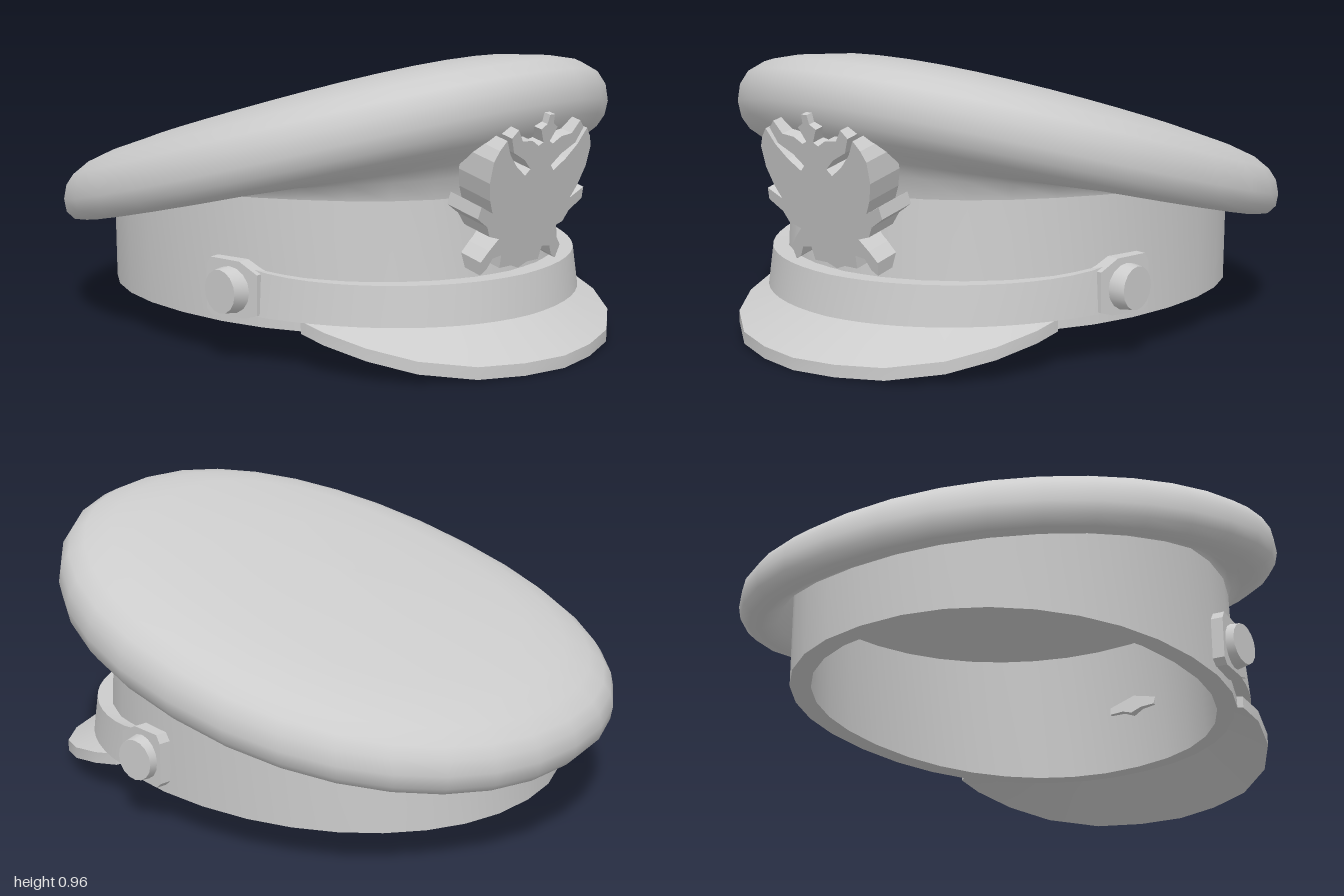
import * as THREE from 'three';
import { toCreasedNormals } from 'three/addons/utils/BufferGeometryUtils.js';

const V = (x, y, z) => new THREE.Vector3(x, y, z);

// Point on an oval: half width, front z, back z, height at front and back, lift at the sides
function oval(t, [xr, zf, zb, yf, yb, lift = 0]) {
  const p = (v) => Math.sign(v) * Math.abs(v) ** 0.93;
  const c = p(Math.cos(t));
  return V(
    xr * p(Math.sin(t)),
    THREE.MathUtils.lerp(yb, yf, (c + 1) / 2) + lift * Math.sin(t) ** 2,
    (zf + zb) / 2 + (c * (zf - zb)) / 2
  );
}

// Skin a list of closed rings of points
function loft(rings) {
  const n = rings[0].length;
  const index = [];
  for (let i = 0; i < rings.length - 1; i++) {
    for (let j = 0; j < n; j++) {
      const k = (j + 1) % n;
      const a = i * n + j, b = a + n, c = (i + 1) * n + k, d = i * n + k;
      index.push(a, b, c, a, c, d);
    }
  }
  const geo = new THREE.BufferGeometry().setFromPoints(rings.flat());
  geo.setIndex(index);
  geo.computeVertexNormals();
  return geo;
}

// Stack of ovals
function ovalLoft(profile, segments = 32) {
  return loft(profile.map((ring) =>
    Array.from({ length: segments }, (_, j) => oval((j / segments) * Math.PI * 2, ring))));
}

// Sections swept from right to left with closed ends
function sweep(sections) {
  const cap = (s) => {
    const m = s.reduce((sum, p) => sum.add(p), V(0, 0, 0)).divideScalar(s.length);
    return s.map(() => m.clone());
  };
  return toCreasedNormals(loft([cap(sections[0]), ...sections, cap(sections.at(-1))]), 0.6);
}

export function createModel() {
  const group = new THREE.Group();
  const grey = new THREE.MeshStandardMaterial({ color: 0xcccccc });
  grey.name = 'plain grey';
  const add = (name, geo) => {
    const mesh = new THREE.Mesh(geo, grey);
    mesh.name = name;
    group.add(mesh);
    return mesh;
  };

  // Padded, sloping crown that flares out of the band at the front
  const joint = [0.69, 0.752, -0.83, 0.53, 0.42, 0.04];
  add('crown', ovalLoft([
    [0, -0.045, -0.045, 0.762, 0.762],
    [0.3, 0.29, -0.38, 0.86, 0.665, -0.007],
    [0.57, 0.61, -0.7, 0.95, 0.565, -0.02],
    [0.7, 0.74, -0.83, 0.957, 0.518, -0.03],
    [0.785, 0.825, -0.915, 0.95, 0.472, -0.033],
    [0.835, 0.88, -0.965, 0.922, 0.43, -0.036],
    [0.86, 0.908, -0.99, 0.88, 0.395, -0.04],
    [0.868, 0.917, -1, 0.825, 0.35, -0.043],
    [0.86, 0.907, -0.993, 0.775, 0.305, -0.038],
    [0.835, 0.882, -0.965, 0.732, 0.277, -0.03],
    [0.795, 0.845, -0.925, 0.695, 0.272, -0.02],
    [0.74, 0.8, -0.875, 0.655, 0.3, 0],
    [0.7, 0.768, -0.838, 0.6, 0.39, 0.03],
    joint,
  ]));

  // Upright head band with thick open bottom
  const outerFoot = [0.69, 0.785, -0.83, 0.12, 0.12];
  const innerFoot = [0.622, 0.715, -0.762, 0.12, 0.12];
  const innerTop = [0.622, 0.685, -0.762, 0.6, 0.4];
  add('band', ovalLoft([joint, [0.69, 0.765, -0.83, 0.36, 0.3], outerFoot]));
  add('bandHem', ovalLoft([outerFoot, innerFoot]));
  add('bandLining', ovalLoft([innerFoot, innerTop]));
  add('ceiling', ovalLoft([innerTop, [0, -0.04, -0.04, 0.5, 0.5]]));

  // Visor: outer edge points from one side, mirrored to the other
  const half = [
    [0, 0.04, 1], [0.16, 0.042, 0.975], [0.32, 0.05, 0.92], [0.47, 0.075, 0.81],
    [0.56, 0.108, 0.68], [0.605, 0.14, 0.54], [0.605, 0.158, 0.44],
  ];
  const edge = [
    ...half.slice(1).reverse().map(([x, y, z]) => [-x, y, z]),
    ...half,
  ];
  add('visor', sweep(edge.map(([x, y, z], i) => {
    const t = (i - 6) / 6;
    const inner = oval(t, [0.67, 0.765, -0.81, 0, 0]);
    return [
      V(x, y - 0.04, z), V(x, y, z),
      V(inner.x, 0.165, inner.z), V(inner.x, 0.122, inner.z),
    ];
  })));

  // Chin strap around the front, wider towards its ends
  const strap = [];
  for (let i = -14; i <= 14; i++) {
    const t = (i / 14) * 1.27;
    const k = Math.abs(i / 14);
    const low = 0.145 + 0.018 * k;
    const high = 0.275 + 0.015 * k + 0.025 * k ** 8;
    strap.push([
      oval(t, [0.715, 0.857, -0.83, low, low]),
      oval(t, [0.71, 0.835, -0.83, high, high]),
      oval(t, [0.68, 0.77, -0.83, high, high]),
      oval(t, [0.68, 0.77, -0.83, low, low]),
    ]);
  }
  add('chinStrap', sweep(strap));

  // Strap end tabs and side buttons
  const tab = [
    [-0.11, -0.07], [-0.06, -0.085], [0.07, -0.09], [0.092, -0.07],
    [0.092, 0.07], [0.075, 0.097], [-0.04, 0.095], [-0.07, 0.08], [-0.11, 0.06],
  ];
  for (const [side, s] of [['left', 1], ['right', -1]]) {
    const shape = new THREE.Shape(tab.map(([x, y]) => new THREE.Vector2(s * x, y)));
    const plate = add(side + 'StrapTab',
      new THREE.ExtrudeGeometry(shape, { depth: 0.06, bevelEnabled: false }));
    plate.rotation.y = s * (Math.PI / 2 - 0.17);
    plate.position.set(s * 0.645, 0.238, 0.21);
    const button = add(side + 'Button', toCreasedNormals(
      new THREE.CylinderGeometry(0.07, 0.08, 0.07, 16), 0.6));
    button.rotation.z = -s * Math.PI / 2;
    button.position.set(s * 0.71, 0.238, 0.22);
  }

  // Ornamental front badge, leaning forward
  const right = [
    [0, 0], [0.04, 0.015], [0.095, 0.015], [0.1, 0.06], [0.14, 0.055],
    [0.16, 0.02], [0.185, 0.005], [0.195, 0.05], [0.165, 0.085], [0.13, 0.12],
    [0.18, 0.135], [0.2, 0.17], [0.255, 0.205], [0.25, 0.245], [0.19, 0.215],
    [0.215, 0.26], [0.235, 0.32], [0.237, 0.39], [0.22, 0.425], [0.195, 0.455],
    [0.165, 0.405], [0.12, 0.36], [0.07, 0.325], [0.05, 0.345], [0.09, 0.38],
    [0.15, 0.41], [0.175, 0.46], [0.15, 0.485], [0.12, 0.445], [0.07, 0.44],
    [0.035, 0.42], [0.015, 0.43], [0.04, 0.475], [0.015, 0.49], [0.012, 0.52],
  ];
  const outline = [...right, ...right.slice(1).reverse().map(([x, y]) => [-x, y])];
  const badge = add('badge', new THREE.ExtrudeGeometry(
    new THREE.Shape(outline.map(([x, y]) => new THREE.Vector2(x, y))),
    { depth: 0.13, bevelEnabled: false }).translate(0, 0, -0.13));
  badge.position.set(0, 0.29, 0.805);
  badge.rotation.x = 0.25;

  return group;
}
